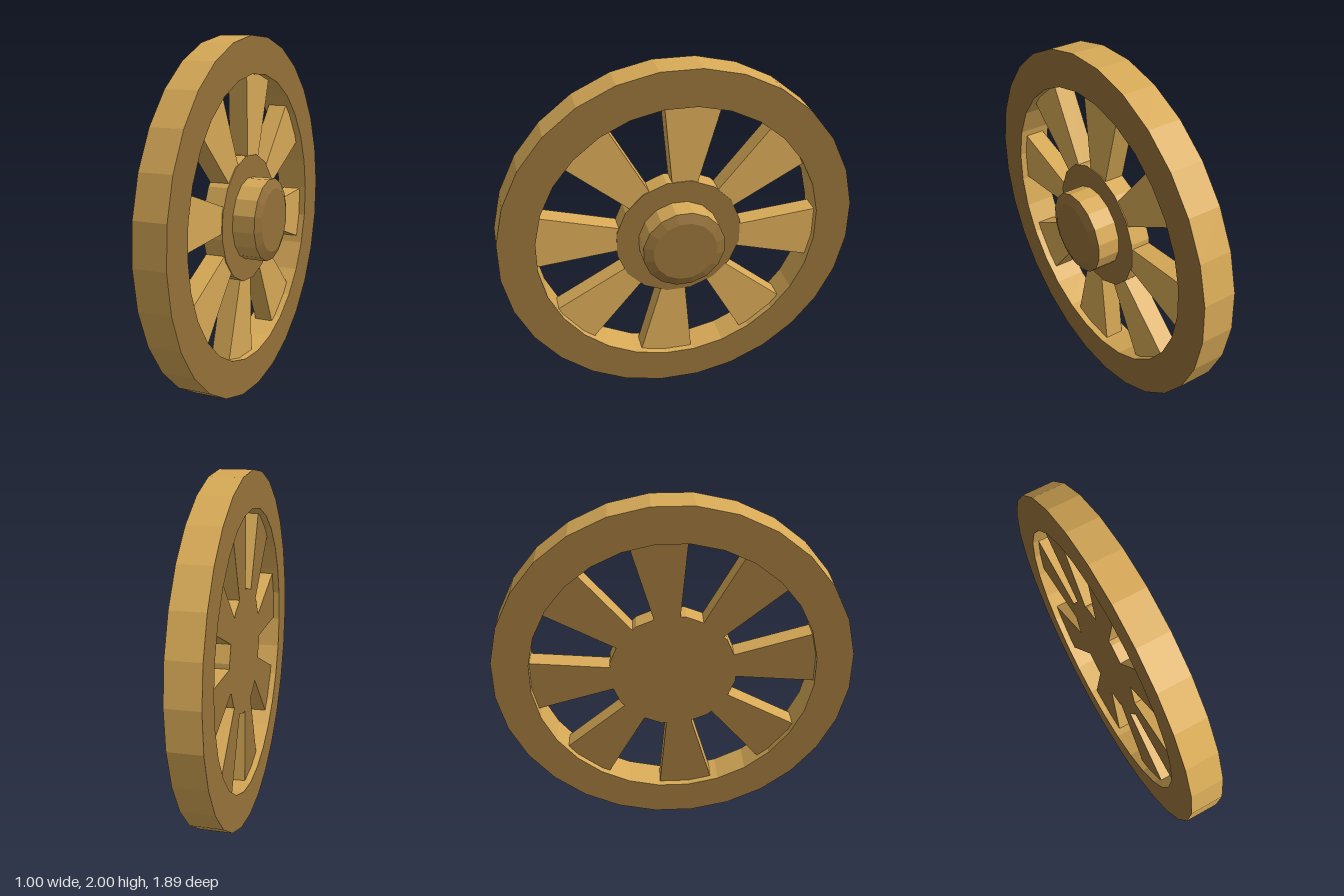
import * as THREE from 'three';

const light = new THREE.MeshStandardMaterial({ color: 0xd8aa57, flatShading: true });
const dark = new THREE.MeshStandardMaterial({ color: 0x957139, flatShading: true });

// Regular polygon outline with a flat edge at the top
function polygon(PathType, sides, apothem) {
  const r = apothem / Math.cos(Math.PI / sides);
  const points = [];
  for (let i = 0; i < sides; i++) {
    const a = ((i + 0.5) / sides) * Math.PI * 2;
    points.push(new THREE.Vector2(r * Math.cos(a), r * Math.sin(a)));
  }
  return new PathType(points);
}

// Slab between two depths along the axle: dark back, light sides, chosen front
function slab(name, shape, back, front, frontMaterial) {
  const geometry = new THREE.ExtrudeGeometry(shape, { depth: front - back, bevelEnabled: false });
  geometry.translate(0, 0, back);
  const [faces, sides] = geometry.groups;
  const half = faces.count / 2;
  geometry.clearGroups();
  geometry.addGroup(0, half, 0);
  geometry.addGroup(half, half, 1);
  geometry.addGroup(sides.start, sides.count, 2);
  const mesh = new THREE.Mesh(geometry, [dark, frontMaterial, light]);
  mesh.name = name;
  return mesh;
}

// Turned part around the axle, from [radius, depth] points
function turned(name, profile, material) {
  const points = profile.map(([r, d]) => new THREE.Vector2(r, d));
  const mesh = new THREE.Mesh(new THREE.LatheGeometry(points, 16, Math.PI / 16), material);
  mesh.name = name;
  mesh.rotation.x = Math.PI / 2;
  return mesh;
}

export function createModel() {
  const model = new THREE.Group();
  model.name = 'wheel';

  // The wheel is built facing +z, then leaned slightly and turned
  const wheel = new THREE.Group();
  wheel.name = 'turnedWheel';
  wheel.position.y = 1;
  wheel.rotation.set(0.025, 1.141, 0, 'YXZ');
  model.add(wheel);

  // Rim
  const rimShape = polygon(THREE.Shape, 28, 0.998);
  rimShape.holes.push(polygon(THREE.Path, 28, 0.795));
  wheel.add(slab('rim', rimShape, -0.092, 0.092, dark));

  // Flared spokes, set back inside the rim
  const spokeShape = new THREE.Shape([
    new THREE.Vector2(0.2, -0.045),
    new THREE.Vector2(0.8, -0.156),
    new THREE.Vector2(0.8, 0.156),
    new THREE.Vector2(0.2, 0.045),
  ]);
  for (let i = 0; i < 8; i++) {
    const spoke = slab('spoke', spokeShape, -0.055, 0.054, light);
    spoke.rotation.z = (i * Math.PI) / 4 - 0.092;
    wheel.add(spoke);
  }

  // Hub disc
  wheel.add(slab('hub', polygon(THREE.Shape, 16, 0.352), -0.055, 0.059, dark));

  // Hub cap with a shallow chamfered face
  wheel.add(turned('hubCapSide', [[0.232, 0.05], [0.232, 0.186]], light));
  wheel.add(turned('hubCapFace', [[0.232, 0.186], [0.178, 0.207], [0, 0.207]], dark));

  return model;
}
